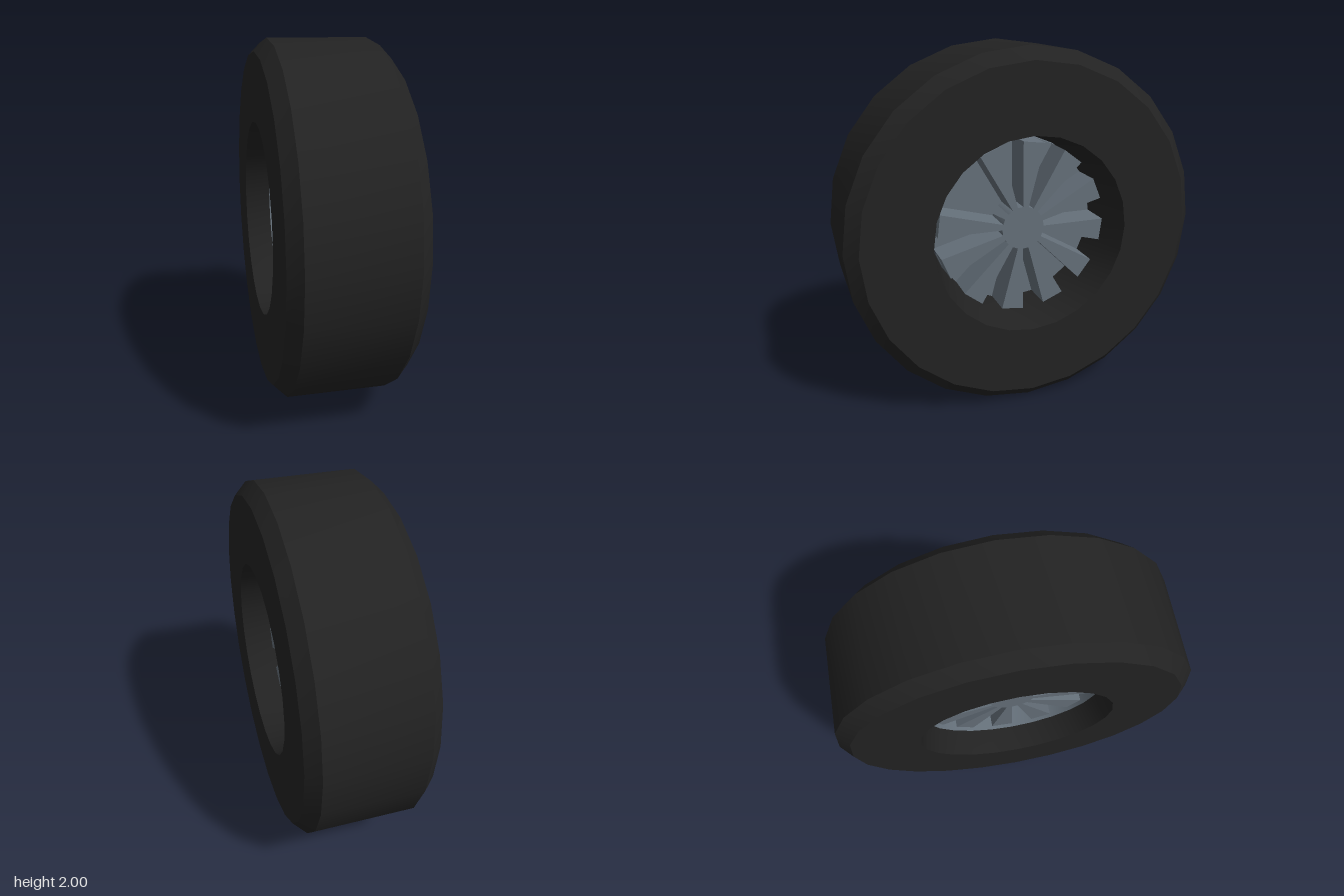
import * as THREE from 'three';
import { toCreasedNormals } from 'three/addons/utils/BufferGeometryUtils.js';

const SIDES = 24;
const SPOKES = 12;
const STEP = (Math.PI * 2) / SIDES;
const HUB_R = 0.123, RIM_R = 0.49, HALF = 0.185;

// Revolve [radius, x] points around the x axis
function revolve(points) {
  const profile = points.map(([r, x]) => new THREE.Vector2(r, x));
  const geometry = new THREE.LatheGeometry(profile, SIDES);
  geometry.rotateZ(-Math.PI / 2);
  return toCreasedNormals(geometry, Math.PI / 6);
}

// Wedge from the hub to the rim, reaching from the mid plane to the face
function spokeGeometry() {
  const at = (r, a) => new THREE.Vector2(r * Math.sin(a), r * Math.cos(a));
  const shape = new THREE.Shape([
    at(HUB_R, 0), at(RIM_R, 0), at(RIM_R, STEP), at(HUB_R, STEP),
  ]);
  const geometry = new THREE.ExtrudeGeometry(shape, { depth: HALF, bevelEnabled: false });
  geometry.rotateY(Math.PI / 2);
  return geometry;
}

export function createModel() {
  const rubber = new THREE.MeshStandardMaterial({ color: 0x222222 });
  const metal = new THREE.MeshStandardMaterial({ color: 0x65707a });
  const lining = new THREE.MeshStandardMaterial({ color: 0x65707a, side: THREE.DoubleSide });

  const wheel = new THREE.Group();
  wheel.name = 'wheel';
  wheel.position.y = 1;
  const add = (parent, name, geometry, material) => {
    const mesh = new THREE.Mesh(geometry, material);
    mesh.name = name;
    parent.add(mesh);
    return mesh;
  };

  // Tyre with bevelled shoulders and a bore narrowing to the middle
  add(wheel, 'tyre', revolve([
    [0.495, 0], [0.55, -0.345], [0.93, -0.345], [1, -0.275],
    [1, 0.275], [0.93, 0.345], [0.55, 0.345], [0.495, 0],
  ]), rubber);

  // Thin metal lining on the inner half of the bore
  add(wheel, 'rimLining', revolve([[0.515, -0.2], [0.491, 0]]), lining);

  // Hub
  const hub = new THREE.CylinderGeometry(HUB_R, HUB_R, HALF * 2, SIDES);
  hub.rotateZ(-Math.PI / 2);
  add(wheel, 'hub', hub, metal);

  // Two staggered sets of spokes, each filling the gaps of the other
  const spoke = spokeGeometry();
  for (const [name, turn] of [['outerSpokes', 0], ['innerSpokes', Math.PI]]) {
    const set = new THREE.Group();
    set.name = name;
    set.rotation.y = turn;
    for (let i = 0; i < SPOKES; i++) {
      add(set, 'spoke', spoke, metal).rotation.x = (i * Math.PI * 2) / SPOKES;
    }
    wheel.add(set);
  }

  const model = new THREE.Group();
  model.name = 'model';
  model.add(wheel);
  return model;
}
